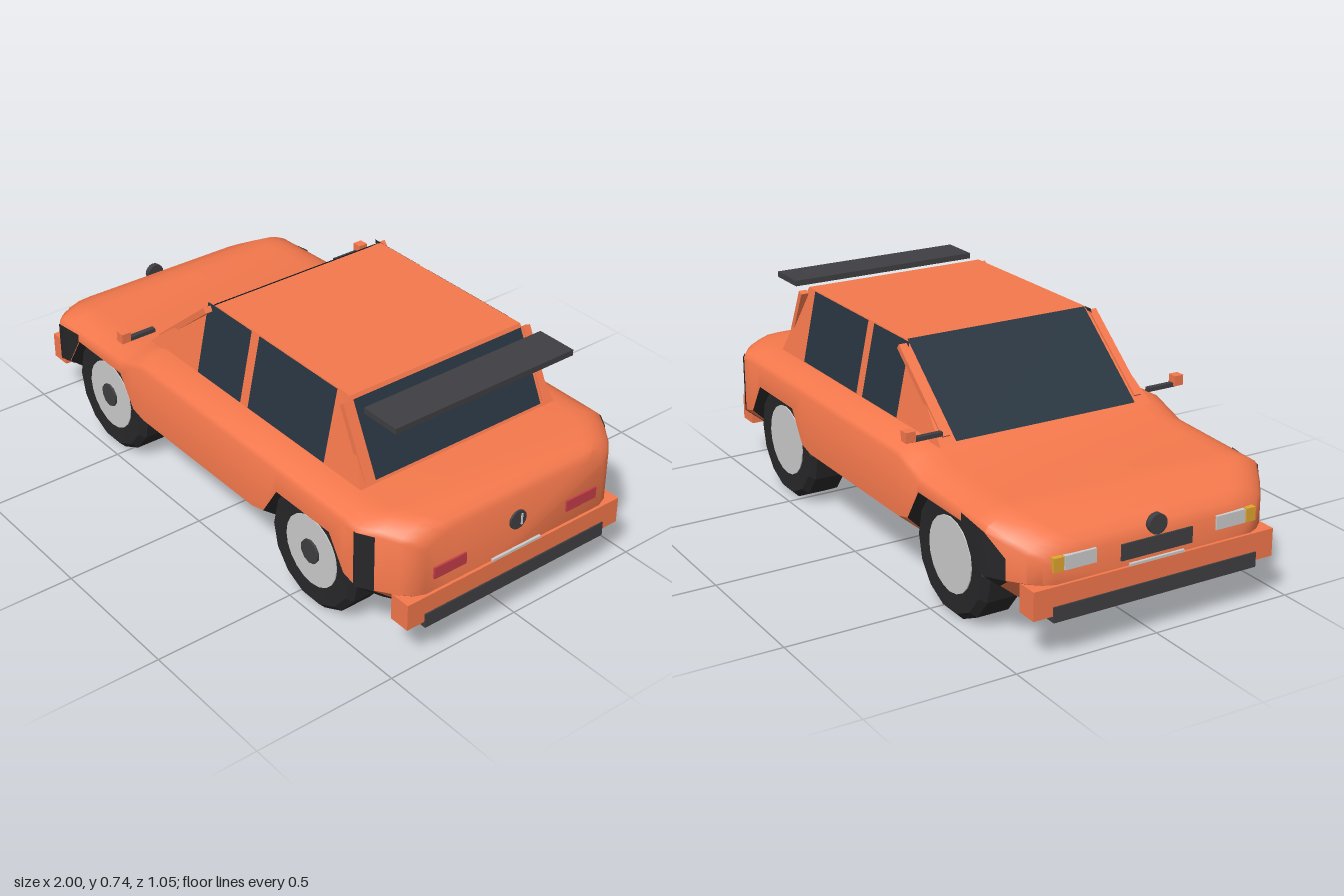
import * as THREE from 'three';
import { toCreasedNormals } from 'three/addons/utils/BufferGeometryUtils.js';

const mat = (color, extra = {}) => new THREE.MeshStandardMaterial({ color, ...extra });
const PAINT = 0xf4784c, DARK = 0x3f3e42, BLACK = 0x272729, GLASS = 0x273440, WHITE = 0xeeeef0;
const GREY = 0xcccccc, RED = 0xc43d48, AMBER = 0xe0a52f;

function add(parent, name, geometry, color, extra) {
  const mesh = new THREE.Mesh(geometry, mat(color, extra));
  mesh.name = name;
  parent.add(mesh);
  return mesh;
}

// Box given by its min and max corners
function box(parent, name, color, [x0, y0, z0], [x1, y1, z1]) {
  const mesh = add(parent, name, new THREE.BoxGeometry(x1 - x0, y1 - y0, z1 - z0), color);
  mesh.position.set((x0 + x1) / 2, (y0 + y1) / 2, (z0 + z1) / 2);
  return mesh;
}

// Skin over a row of open cross-sections, with optional flat end caps
function loft(rings, caps, crease = 0.68) {
  const n = rings[0].length, last = (rings.length - 1) * n, index = [];
  for (let i = 0; i < rings.length - 1; i++) {
    for (let j = 0; j < n - 1; j++) {
      const a = i * n + j, b = a + 1, d = a + n, c = d + 1;
      index.push(a, d, c, a, c, b);
    }
  }
  if (caps) {
    for (let j = 1; j < n - 1; j++) index.push(0, j, j + 1, last, last + j + 1, last + j);
  }
  const geometry = new THREE.BufferGeometry();
  geometry.setAttribute('position', new THREE.Float32BufferAttribute(rings.flat(2), 3));
  geometry.setIndex(index);
  return toCreasedNormals(geometry, crease);
}

// Value at x on a polyline of [x, value] points
function along(points, x) {
  for (let i = 1; i < points.length; i++) {
    const [x0, v0] = points[i - 1], [x1, v1] = points[i];
    if (x <= x1) return v0 + (v1 - v0) * Math.max(0, (x - x0) / (x1 - x0));
  }
  return points[points.length - 1][1];
}

// Body outlines: upper edge, half width and lower edge with wheel arches
const TOP = [[-0.985, 0.325], [-0.97, 0.355], [-0.94, 0.378], [-0.83, 0.43], [-0.44, 0.445],
  [-0.31, 0.49], [0.88, 0.488], [0.94, 0.478], [0.97, 0.465], [0.985, 0.44]];
const WIDTH = [[-0.985, 0.36], [-0.97, 0.395], [-0.94, 0.43], [-0.89, 0.467], [-0.83, 0.503],
  [0.83, 0.503], [0.88, 0.472], [0.94, 0.43], [0.97, 0.4], [0.985, 0.365]];
const arch = (c) => [[c - 0.26, 0.15], [c - 0.2, 0.26], [c - 0.13, 0.37],
  [c + 0.13, 0.37], [c + 0.2, 0.26], [c + 0.26, 0.15]];
const BOTTOM = [...arch(-0.57), ...arch(0.57)];
const STATIONS = [-0.985, -0.97, -0.94, -0.89, ...BOTTOM.map((p) => p[0]), 0.88, 0.94, 0.97, 0.985];

// The flank is upright above the sill line and tucks in below it
const SILL = 0.245;
const flankZ = (x, y) => along(WIDTH, x) - Math.max(0, SILL - y) * 1.2;

function halfSection(x) {
  const top = along(TOP, x), w = along(WIDTH, x), low = along(BOTTOM, x);
  return [[x, low, flankZ(x, low)], [x, Math.max(low, SILL), w], [x, top - 0.045, w],
    [x, top - 0.03, w - 0.01], [x, top - 0.015, w - 0.04], [x, top - 0.003, w - 0.075],
    [x, top, w - 0.12]];
}

function buildBody(car) {
  const mirrored = (h) => [...h, ...h.map(([x, y, z]) => [x, y, -z]).reverse()];
  const halves = STATIONS.map(halfSection);
  add(car, 'body', loft(halves.map(mirrored), true), PAINT, { side: THREE.DoubleSide });
  // Floor, running up over the wheel wells
  const floor = halves.map(([[x, y, z]]) => [[x, y, -z], [x, y, z]]);
  add(car, 'underbody', loft(floor, false, 0.3), BLACK, { side: THREE.DoubleSide });
  box(car, 'chassis', BLACK, [-0.85, 0.18, -0.2], [0.85, 0.365, 0.2]);

  // Dark corner panels lying on the flanks: [x, low, high]
  const front = [[-0.89, 0.24, 0.315], [-0.83, 0.2, 0.385], [-0.77, 0.26, 0.392], [-0.7, 0.37, 0.4]];
  const rear = [[0.82, 0.19, 0.445], [0.83, 0.152, 0.445], [0.88, 0.152, 0.443]];
  for (const s of [1, -1]) {
    for (const [name, rows] of [['frontCornerPanel', front], ['rearCornerPanel', rear]]) {
      const rings = rows.map(([x, lo, hi]) => [lo, Math.max(lo, SILL), hi].map((y) => [
        x, y, s * (flankZ(x, y) + 0.003)]));
      add(car, name, loft(rings, false), BLACK, { side: THREE.DoubleSide });
    }
  }
}

function buildCabin(car) {
  const y0 = 0.48, y1 = 0.74;
  const sideZ = (y) => 0.4 - 0.055 * (y - y0) / (y1 - y0);
  const frontX = (y) => -0.4 + 0.315 * (y - y0) / (y1 - y0);
  const rearX = (y) => 0.725 - 0.125 * (y - y0) / (y1 - y0);
  const hoop = (edge) => [[edge(y0), y0, sideZ(y0)], [edge(y1), y1, sideZ(y1)],
    [edge(y1), y1, -sideZ(y1)], [edge(y0), y0, -sideZ(y0)]];
  add(car, 'cabin', loft([hoop(frontX), hoop(rearX)], true, 0.3), PAINT);

  // Windscreen and rear window
  const pane = (name, edge, off, lo, hi, s) => add(car, name, loft([-0.34, 0.34].map((z) =>
    [lo, hi].map((y) => [edge(y) + off, y + 0.002, s * z])), false), GLASS, { side: THREE.DoubleSide });
  pane('windscreen', frontX, -0.004, 0.488, 0.738, 1);
  pane('rearWindow', rearX, 0.004, 0.498, 0.728, -1);

  for (const s of [1, -1]) {
    // Side windows follow the lean of the cabin
    for (const [name, a, b] of [['frontSideWindow', -0.12, 0.115], ['rearSideWindow', 0.155, 0.545]]) {
      const rings = [a, b].map((x) => [0.492, 0.738].map((y) => [x, y, s * (sideZ(y) + 0.003)]));
      add(car, name, loft(rings, false), GLASS, { side: THREE.DoubleSide });
    }
    // Slanted pillar strips
    for (const [name, edge, off] of [['frontPillar', frontX, 0.005], ['rearPillar', rearX, -0.005]]) {
      const a = new THREE.Vector3(edge(0.5) + off, 0.5, s * 0.365);
      const b = new THREE.Vector3(edge(0.724) + off, 0.724, s * 0.365);
      const strip = add(car, name, new THREE.BoxGeometry(0.02, a.distanceTo(b), 0.028), PAINT);
      strip.position.addVectors(a, b).multiplyScalar(0.5);
      strip.rotation.z = Math.atan2(a.x - b.x, b.y - a.y);
    }
    // Door mirrors
    const arm = box(car, 'mirrorArm', DARK, [-0.4, 0.518, -0.055], [-0.382, 0.532, 0.055]);
    arm.position.z = s * 0.445;
    const head = box(car, 'mirrorHead', PAINT, [-0.408, 0.522, -0.017], [-0.375, 0.557, 0.017]);
    head.position.z = s * 0.508;
  }
  box(car, 'spoiler', DARK, [0.68, 0.724, -0.357], [0.825, 0.744, 0.357]);
}

function buildWheel(car, x, z) {
  const wheel = new THREE.Group();
  wheel.name = 'wheel';
  wheel.position.set(x, 0.205, z);
  // Tyre with chamfered shoulders
  const profile = [[0.12, -0.07], [0.188, -0.075], [0.209, -0.055], [0.209, 0.055], [0.188, 0.075], [0.12, 0.07]]
    .map(([r, h]) => new THREE.Vector2(r, h));
  const tyre = toCreasedNormals(new THREE.LatheGeometry(profile, 14, Math.PI / 14), 0.3);
  const parts = [['tyre', tyre, BLACK, 0],
    ['rim', new THREE.CylinderGeometry(0.125, 0.125, 0.148, 20), WHITE, 0],
    ['hub', new THREE.CylinderGeometry(0.042, 0.042, 0.02, 10), DARK, 0.072]];
  for (const [name, geometry, color, offset] of parts) {
    const mesh = add(wheel, name, geometry, color, { side: THREE.DoubleSide });
    mesh.rotation.x = Math.PI / 2;
    mesh.position.z = offset;
  }
  car.add(wheel);
}

function buildEnds(car) {
  for (const s of [-1, 1]) {
    const end = s < 0 ? 'front' : 'rear';
    const block = (name, color, xa, xb, ya, yb, za, zb) => box(car, end + name, color,
      [Math.min(s * xa, s * xb), ya, za], [Math.max(s * xa, s * xb), yb, zb]);
    block('Bumper', PAINT, 0.92, 0.995, 0.15, 0.243, -0.44, 0.44);
    block('BumperLip', DARK, 0.935, 1, 0.13, 0.18, -0.373, 0.373);
    block('PlateStrip', GREY, 0.97, 0.994, 0.243, 0.251, -0.1, 0.1);
    // Plain round lock cover
    const lock = add(car, end + 'LockCover', new THREE.CylinderGeometry(0.033, 0.033, 0.02, 16), DARK);
    lock.rotation.z = Math.PI / 2;
    lock.position.set(s * 0.982, 0.355, 0);
    for (const m of [-1, 1]) {
      const lamp = (name, color, z, w, ya, yb) => {
        block(name, color, 0.96, 0.992, ya, yb, m * z - w / 2, m * z + w / 2);
      };
      if (s < 0) {
        lamp('Headlight', WHITE, 0.275, 0.11, 0.285, 0.33);
        lamp('Indicator', AMBER, 0.352, 0.035, 0.285, 0.33);
      } else {
        lamp('TailLight', RED, 0.272, 0.127, 0.29, 0.33);
      }
    }
  }
  box(car, 'grille', DARK, [-0.991, 0.265, -0.13], [-0.97, 0.318, 0.13]);
  box(car, 'lockSlot', GREY, [0.98, 0.335, -0.015], [0.995, 0.375, -0.009]);
}

export function createModel() {
  const car = new THREE.Group();
  car.name = 'car';
  buildBody(car);
  buildCabin(car);
  buildEnds(car);
  for (const x of [-0.57, 0.57]) for (const z of [-0.395, 0.395]) buildWheel(car, x, z);
  return car;
}
